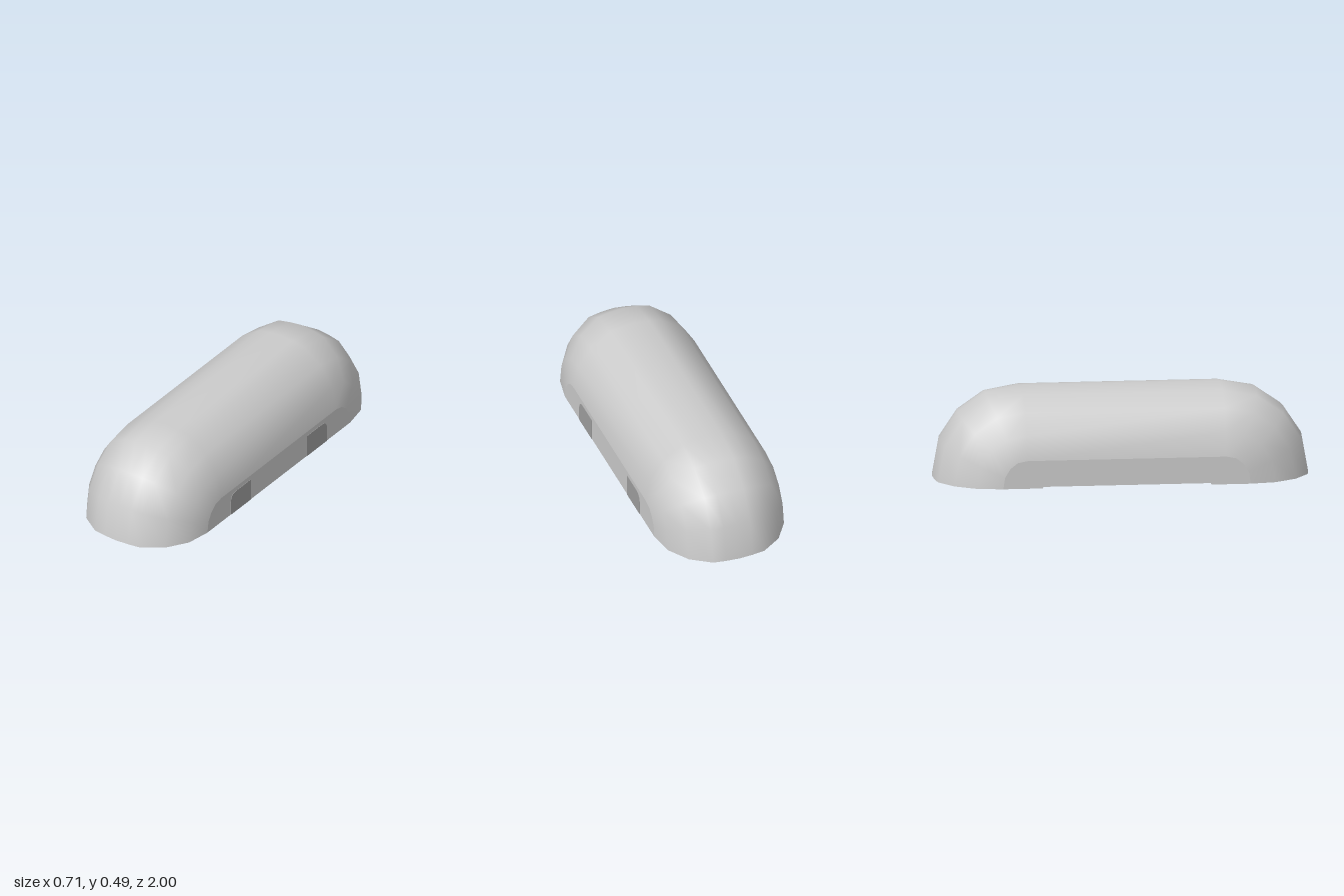
import * as THREE from 'three';

const grey = new THREE.MeshStandardMaterial({ color: 0xcccccc, side: THREE.DoubleSide });
const darkGrey = new THREE.MeshStandardMaterial({ color: 0xa0a0a0, side: THREE.DoubleSide });

const SIDE = 0.354;
const STRAIGHT = 0.53;
// Lengthwise columns: x, crest height, half length at the base
const half = [
  [0.075, 0.478, 0.995], [0.145, 0.465, 0.985], [0.255, 0.39, 0.91],
  [0.33, 0.28, 0.795], [SIDE, 0.15, 0.66],
];
const columns = [...half.map(([x, h, l]) => [-x, h, l]).reverse(), [0, 0.485, 1], ...half];
// Rounding of the ends: share of end length, share of crest height
const arc = [[1, 0], [0.925, 0.41], [0.713, 0.72], [0.404, 0.93], [0, 1]];
// Long shallow notch under one side: z, height
const notchHalf = [[0.45, 0], [0.442, 0.016], [0.425, 0.029], [0.39, 0.036]];
const notch = [...notchHalf, ...notchHalf.map(([z, y]) => [-z, y]).reverse()];
const NOTCH_X = -0.316;
// Half the mouth of a cavity, x and z, from the middle bridge to the end
const mouth = [
  [0, 0.025], [0.11, 0.04], [0.205, 0.1], [0.235, 0.15], [0.262, 0.45],
  [0.278, 0.73], [0.2, 0.875], [0.1, 0.928], [0, 0.942],
];

// Surface through rows of points, each row given as [x, y, z] triples
function loft(rows) {
  const n = rows[0].length, index = [];
  for (let r = 0; r < rows.length - 1; r++) {
    for (let c = 0; c < n - 1; c++) {
      const a = r * n + c, d = a + n;
      index.push(a, a + 1, d, a + 1, d + 1, d);
    }
  }
  const geometry = new THREE.BufferGeometry();
  geometry.setAttribute('position', new THREE.Float32BufferAttribute(rows.flat(2), 3));
  geometry.setIndex(index);
  geometry.computeVertexNormals();
  return geometry;
}

function add(group, name, geometry, material = grey) {
  const mesh = new THREE.Mesh(geometry, material);
  mesh.name = name;
  group.add(mesh);
}

// Points of one end of a column, from its tip to the straight part
function columnEnd([x, h, l], side) {
  return arc.map(([g, f]) => [x, h * f, side * (STRAIGHT + (l - STRAIGHT) * g)]);
}

function hullGeometry() {
  const lines = columns.map((c) => [...columnEnd(c, 1), ...columnEnd(c, -1).reverse()]);
  return loft(lines[0].map((_, r) => lines.map((line) => line[r])));
}

// Upright lower wall below the hull's edge, with cuts in its bottom line
function skirtGeometry(side, cuts) {
  const edge = [SIDE, 0.15, 0.66];
  const points = [...columnEnd(edge, 1), ...columnEnd(edge, -1).reverse()].map(([, y, z]) => [z, y]);
  const bottom = cuts.slice().reverse();
  const shape = new THREE.Shape([...points, ...bottom].map(([z, y]) => new THREE.Vector2(-side * z, y)));
  return new THREE.ShapeGeometry(shape).rotateY(side * Math.PI / 2).translate(side * SIDE, 0, 0);
}

// Smooth closed outline of a cavity in x and z
function mouthOutline(side) {
  const loop = [...mouth, ...mouth.slice(1, -1).map(([x, z]) => [-x, z]).reverse()];
  const curve = new THREE.CatmullRomCurve3(loop.map(([x, z]) => new THREE.Vector3(x, 0, side * z)), true);
  return curve.getPoints(64).slice(0, -1).map((p) => new THREE.Vector2(p.x, p.z));
}

// Flat face looking down at height y
function downFace(shape, y) {
  return new THREE.ShapeGeometry(shape).rotateX(Math.PI / 2).translate(0, y, 0);
}

export function createModel() {
  const model = new THREE.Group();
  model.name = 'roundedCover';
  add(model, 'hull', hullGeometry());
  add(model, 'leftSkirt', skirtGeometry(1, []));
  add(model, 'rightSkirt', skirtGeometry(-1, notch));

  // Base rim with two openings and the notch in its edge
  const base = new THREE.Shape([
    ...columns.map(([x, , l]) => new THREE.Vector2(x, l)),
    ...columns.map(([x, , l]) => new THREE.Vector2(x, -l)).reverse(),
    new THREE.Vector2(-SIDE, -0.45),
    new THREE.Vector2(NOTCH_X, -0.45),
    new THREE.Vector2(NOTCH_X, 0.45),
    new THREE.Vector2(-SIDE, 0.45),
  ]);
  for (const side of [1, -1]) base.holes.push(new THREE.Path(mouthOutline(side)));
  add(model, 'baseRim', downFace(base, 0));

  // Notch roof and back wall
  add(model, 'notchRoof', loft(notch.map(([z, y]) => [[NOTCH_X, y, z], [-SIDE, y, z]])));
  add(model, 'notchBack', loft(notch.map(([z, y]) => [[NOTCH_X, 0, z], [NOTCH_X, y, z]])));

  // Two cavities, narrowing a little towards their flat roofs
  for (const side of [1, -1]) {
    const rim = mouthOutline(side);
    const roof = rim.map((p) => new THREE.Vector2(p.x * 0.93, side * 0.03 + p.y * 0.88));
    const ring = (points, y) => [...points, points[0]].map((p) => [p.x, y, p.y]);
    add(model, 'cavityWall', loft(side > 0
      ? [ring(rim, 0), ring(roof, 0.28)]
      : [ring(roof, 0.28), ring(rim, 0)]));
    add(model, 'cavityRoof', downFace(new THREE.Shape(roof), 0.28));
  }

  // Thin dark side pads, each rounded at its outer top corner
  for (const side of [1, -1]) {
    const pad = new THREE.Shape();
    pad.moveTo(-side * 0.26, 0);
    pad.lineTo(-side * 0.26, 0.125);
    pad.lineTo(-side * 0.395, 0.125);
    pad.quadraticCurveTo(-side * 0.445, 0.125, -side * 0.445, 0.075);
    pad.lineTo(-side * 0.445, 0);
    const geometry = new THREE.ExtrudeGeometry(pad, { depth: 0.006, bevelEnabled: false, curveSegments: 6 });
    add(model, side > 0 ? 'frontPad' : 'backPad', geometry.rotateY(Math.PI / 2).translate(0.35, 0, 0), darkGrey);
  }
  return model;
}
